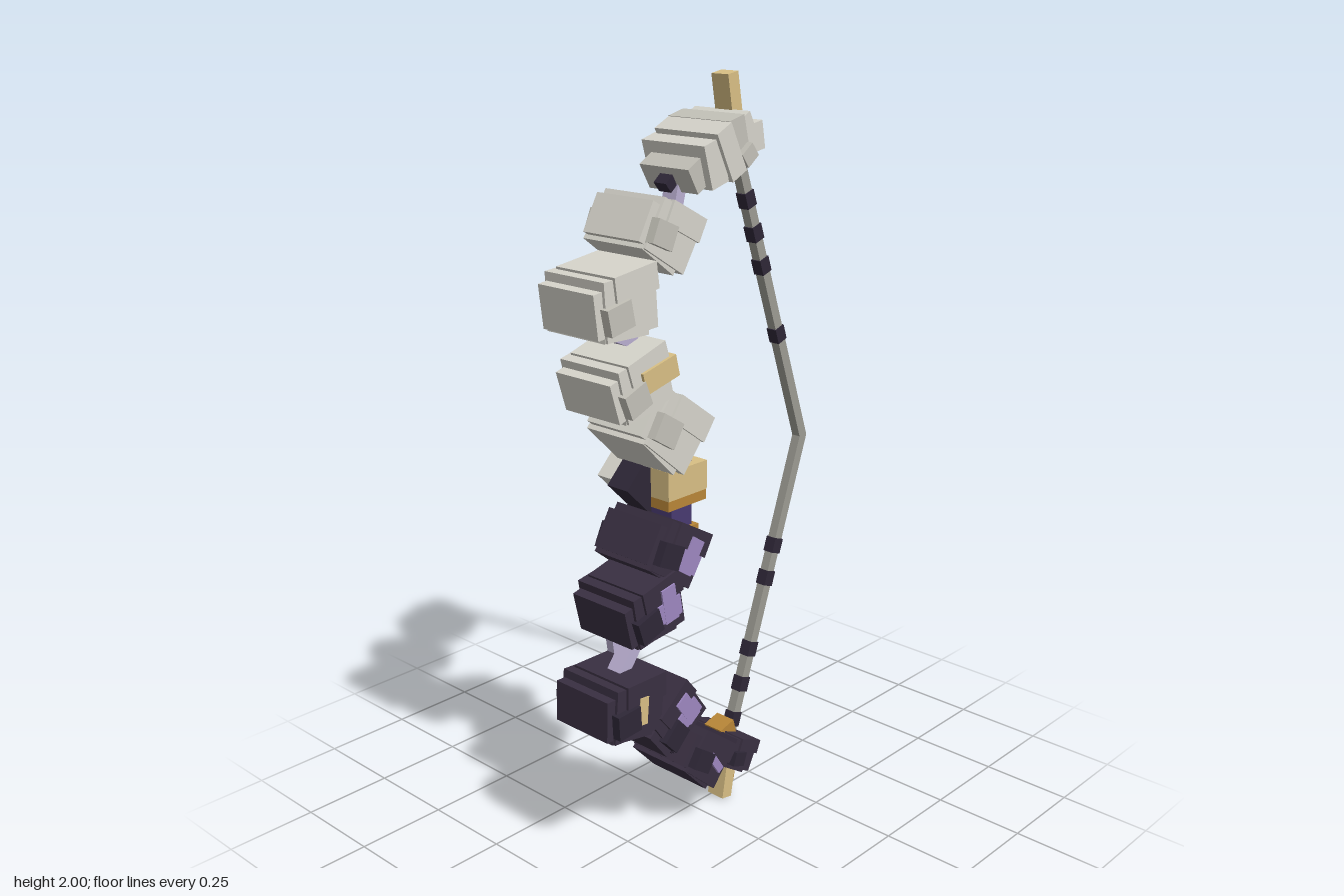
import * as THREE from 'three';

const mat = (name, color) => {
  const m = new THREE.MeshStandardMaterial({ color });
  m.name = name;
  return m;
};

export function createModel() {
  const M = {
    bone: mat('pale bone', 0xd6d4cb),
    shade: mat('grey bone', 0xc3c1b8),
    dark: mat('dark plum', 0x392f41),
    black: mat('near black', 0x2e2737),
    lilac: mat('lilac', 0x9d87c0),
    pale: mat('pale lilac', 0xb9aed0),
    gold: mat('pale gold', 0xd8bf84),
    bronze: mat('bronze', 0xb88638),
    purple: mat('grip purple', 0x483a70),
    cord: mat('cord grey', 0x9c9b93),
  };
  const bow = new THREE.Group();
  bow.name = 'bow';

  // box between two depths, turned by deg in the front plane
  const box = (parent, name, m, x, y, w, h, z0, z1, deg = 0) => {
    const b = new THREE.Mesh(new THREE.BoxGeometry(w, h, z1 - z0), m);
    b.name = name;
    b.position.set(x, y, (z0 + z1) / 2);
    b.rotation.z = THREE.MathUtils.degToRad(deg);
    parent.add(b);
    return b;
  };
  const groupAt = (name, x, y, deg) => {
    const g = new THREE.Group();
    g.name = name;
    g.position.set(x, y, 0);
    g.rotation.z = THREE.MathUtils.degToRad(deg);
    bow.add(g);
    return g;
  };

  // rough block of the limb: core, overlapping slabs and small studs
  const vertebra = (name, x, y, deg, s, m, m2) => {
    const g = groupAt(name, x, y, deg);
    box(g, 'core', m, 0, 0, 0.15 * s, 0.13 * s, -0.085, 0.113);
    box(g, 'upperSlab', m, 0.015 * s, 0.045 * s, 0.125 * s, 0.06 * s, -0.075, 0.12, 4);
    box(g, 'lowerSlab', m, -0.01 * s, -0.045 * s, 0.13 * s, 0.055 * s, -0.09, 0.105, -5);
    box(g, 'outerSlab', m, -0.07 * s, -0.005 * s, 0.055 * s, 0.1 * s, -0.08, 0.105, 3);
    box(g, 'frontStud', m2, -0.045 * s, -0.015 * s, 0.07 * s, 0.06 * s, 0.1, 0.13, 8);
    box(g, 'backStud', m2, -0.045 * s, -0.015 * s, 0.07 * s, 0.06 * s, -0.1, -0.07, 8);
    return g;
  };

  // pale upper limb
  [
    ['upperBlock1', -0.165, 1.16, -40, 1.14],
    ['upperBlock2', -0.275, 1.305, 14, 1.05],
    ['upperBlock3', -0.322, 1.505, 4, 1.1],
    ['upperBlock4', -0.178, 1.645, -32, 1],
  ].forEach(([n, x, y, d, s]) => {
    const g = vertebra(n, x, y, d, s, M.bone, M.shade);
    if (n === 'upperBlock2') box(g, 'goldBand', M.gold, 0.04, 0.012, 0.115, 0.056, -0.088, 0.128);
    if (n === 'upperBlock4') box(g, 'goldInset', M.gold, 0.04, -0.03, 0.06, 0.055, -0.096, -0.088);
  });

  // fan of slabs at the upper end
  const head = groupAt('upperEnd', 0.02, 1.823, 22);
  [[-0.11, -0.01, 0.05, 0.07, -0.06, 0.1, 8], [-0.065, 0, 0.06, 0.11, -0.085, 0.12, -6],
    [-0.015, 0.005, 0.055, 0.13, -0.075, 0.13, 4], [0.035, 0.005, 0.055, 0.12, -0.085, 0.115, -8],
    [0.08, 0, 0.055, 0.1, -0.075, 0.105, 6], [0.112, -0.02, 0.045, 0.07, -0.075, 0.1, -12]]
    .forEach(([x, y, w, h, a, b, d], i) => box(head, 'headSlab', i % 3 ? M.bone : M.shade, x, y, w, h, a, b, d));
  box(head, 'headStud', M.shade, 0.04, -0.03, 0.045, 0.04, -0.1, 0.132, 15);

  // dark lower limb; the flag says which faces carry a lilac patch
  const front = 0.119, back = -0.096;
  [
    ['lowerBlock1', -0.158, 0.838, -34, 1.05, [front, back]],
    ['lowerBlock2', -0.237, 0.71, 10, 1.08, [front, back]],
    ['lowerBlock3', -0.31, 0.46, -5, 1.1, []],
    ['lowerBlock4', -0.16, 0.38, 35, 1, [front, back]],
    ['lowerBlock5', -0.042, 0.205, -42, 0.93, []],
    ['lowerEnd', 0.09, 0.165, -28, 0.64, []],
  ].forEach(([n, x, y, d, s, faces]) => {
    const g = vertebra(n, x, y, d, s, M.dark, M.black);
    for (const z of faces) {
      box(g, 'patchTall', M.lilac, 0.028 * s, 0.008, 0.045 * s, 0.09 * s, z, z + 0.006);
      box(g, 'patchWide', M.lilac, 0.025 * s, -0.008, 0.075 * s, 0.05 * s, z - 0.0005, z + 0.0055);
    }
    if (n === 'lowerBlock3') {
      box(g, 'goldInset', M.gold, 0.005, 0, 0.03, 0.075, 0.115, 0.123);
      box(g, 'goldBackInset', M.gold, 0.035, 0, 0.075, 0.07, -0.097, -0.088);
    }
    if (n === 'lowerBlock5') box(g, 'patchSlim', M.lilac, 0.015, 0, 0.022, 0.07, 0.116, 0.124, 75);
  });

  // sinew links showing in the gaps
  [
    [-0.285, 1.41, 0.1, 0.03, -25], [-0.08, 1.74, 0.03, 0.13, -15],
    [-0.22, 1.24, 0.1, 0.04, -40], [-0.2, 0.78, 0.05, 0.12, -30], [-0.265, 0.575, 0.035, 0.13, -38],
    [-0.235, 0.42, 0.14, 0.03, -25], [-0.085, 0.29, 0.035, 0.06, 40],
  ].forEach(([x, y, w, h, d]) => box(bow, 'sinewLink', M.pale, x, y, w, h, 0, 0.045, d));
  [[-0.225, 0.56, 0.035, 0.04], [-0.045, 0.3, 0.03, 0.035], [-0.2, 0.645, 0.07, 0.03]]
    .forEach(([x, y, w, h]) => box(bow, 'sinewKnob', M.pale, x, y, w, h, -0.075, -0.05, 8));
  box(bow, 'darkPeg', M.black, -0.11, 1.752, 0.03, 0.03, 0, 0.04, 40);

  // grip with collars, front guard and turned squares at the back
  box(bow, 'grip', M.purple, -0.11, 1, 0.075, 0.3, -0.04, 0.07);
  for (const y of [0.872, 1.135]) box(bow, 'gripCollar', M.bronze, -0.103, y, 0.09, 0.03, -0.05, 0.08);
  box(bow, 'gripGuard', M.gold, -0.11, 1.018, 0.14, 0.077, 0.03, 0.092);
  box(bow, 'guardBase', M.bronze, -0.11, 0.966, 0.138, 0.028, 0.03, 0.09);
  box(bow, 'backSquareDark', M.black, -0.11, 1, 0.175, 0.175, -0.07, 0, 45);
  box(bow, 'backSquarePale', M.bone, -0.11, 1, 0.122, 0.122, -0.145, -0.07, 45);

  // gold tips and their bronze sockets
  for (const s of [1, -1]) {
    const deg = 10 * s;
    const tip = box(bow, 'tip', M.gold, 0.11, 1 + s * 0.915, 0.037, 0.166, -0.005, 0.05, deg);
    if (s < 0) box(tip, 'tipInset', M.bronze, 0.017, 0.02, 0.008, 0.11, -0.027, 0.027);
    box(bow, 'tipSocket', M.bronze, 0.1, 1 + s * 0.797, 0.055, 0.065, -0.008, 0.053, -deg * 1.5);
  }

  // drawn string in two halves, with dark knots
  for (const s of [1, -1]) {
    const dx = 0.283, dy = 0.81;
    const deg = s * THREE.MathUtils.radToDeg(Math.atan2(dx, dy));
    box(bow, 'string', M.cord, 0.14 + dx / 2, 1 + s * dy / 2, 0.028, Math.hypot(dx, dy) + 0.008, 0.006, 0.032, deg);
    const knots = s > 0 ? [0.04, 0.16, 0.27, 0.38, 0.62] : [0.04, 0.16, 0.28, 0.52, 0.63];
    knots.forEach((t) => box(bow, 'stringKnot', M.black, 0.14 + dx * t, 1 + s * dy * (1 - t), 0.034, 0.042, 0.003, 0.035, deg));
  }
  return bow;
}
